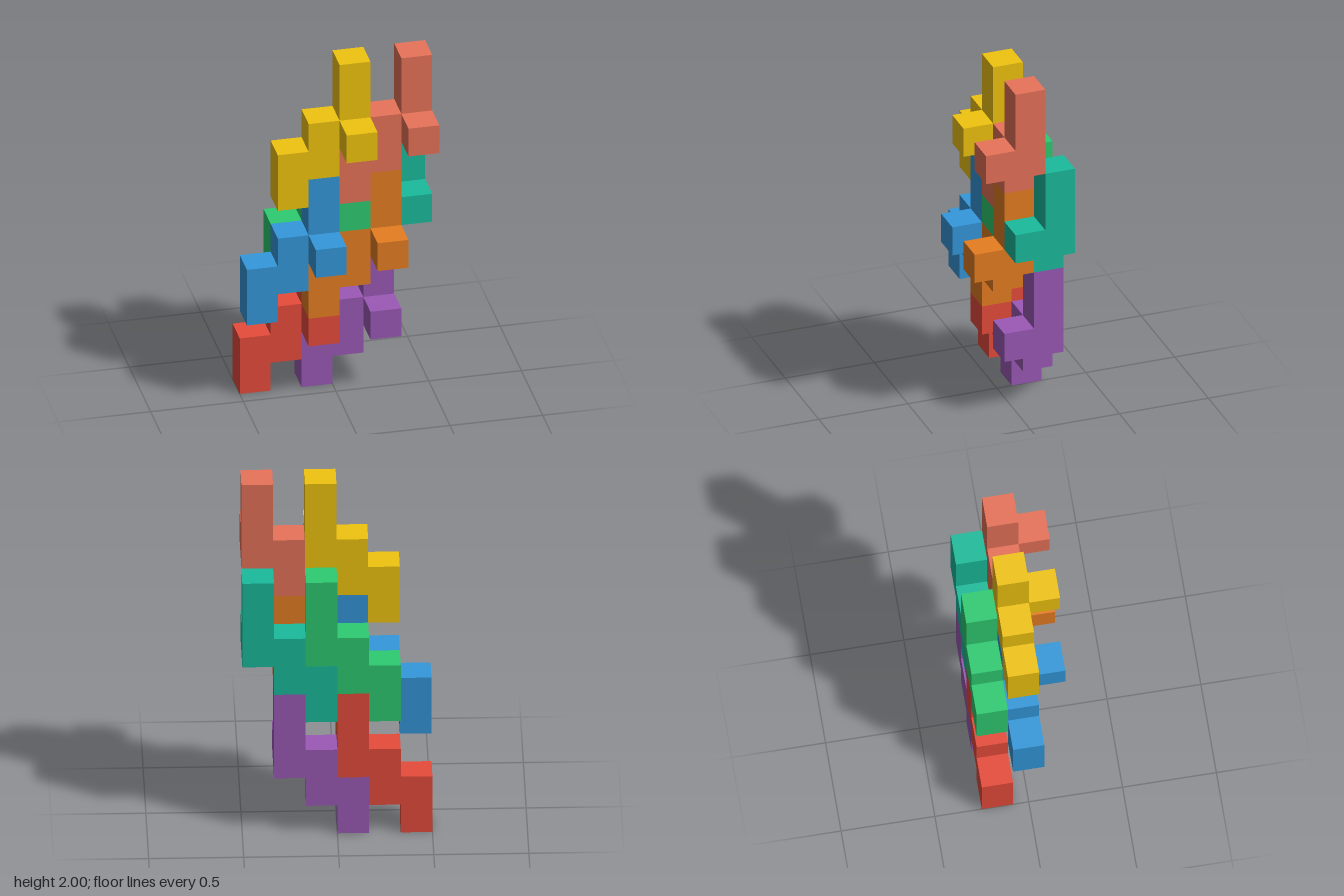
import * as THREE from 'three';

const U = 1 / 6; // edge of one cube cell

// Stepped silhouette in cells: columns of 2, 2 and 3 cells, each one cell higher
const OUTLINE = [
  [0, 0], [1, 0], [1, 1], [2, 1], [2, 2], [3, 2],
  [3, 5], [2, 5], [2, 3], [1, 3], [1, 2], [0, 2],
];

// name, color, and the piece's lowest-left cell (column, row, layer from the back)
const PIECES = [
  ['redPiece', 0xe74c3c, 0, 0, 0],
  ['purplePiece', 0x9b59b6, 2, 0, 0],
  ['greenPiece', 0x2ecc71, 1, 4, 0],
  ['tealPiece', 0x1abc9c, 3, 4, 0],
  ['bluePiece', 0x3498db, 0, 3, 1],
  ['orangePiece', 0xe67e22, 2, 3, 1],
  ['yellowPiece', 0xf1c40f, 1, 7, 1],
  ['salmonPiece', 0xe8735a, 3, 7, 1],
];

export function createModel() {
  const model = new THREE.Group();
  model.name = 'interlockingBlocks';

  const shape = new THREE.Shape(OUTLINE.map(([x, y]) => new THREE.Vector2(x * U, y * U)));
  const stairGeometry = new THREE.ExtrudeGeometry(shape, { depth: U, bevelEnabled: false });
  const cubeGeometry = new THREE.BoxGeometry(U, U, U);

  for (const [name, color, column, row, layer] of PIECES) {
    const material = new THREE.MeshStandardMaterial({ color });
    const piece = new THREE.Group();
    piece.name = name;

    // stepped body
    const stair = new THREE.Mesh(stairGeometry, material);
    stair.name = 'steppedBody';

    // cube standing out to the front at the foot of the tall column
    const cube = new THREE.Mesh(cubeGeometry, material);
    cube.name = 'frontCube';
    cube.position.set(2.5 * U, 2.5 * U, 1.5 * U);

    piece.add(stair, cube);
    piece.position.set((column - 3) * U, row * U, (layer - 1.5) * U);
    model.add(piece);
  }
  return model;
}
